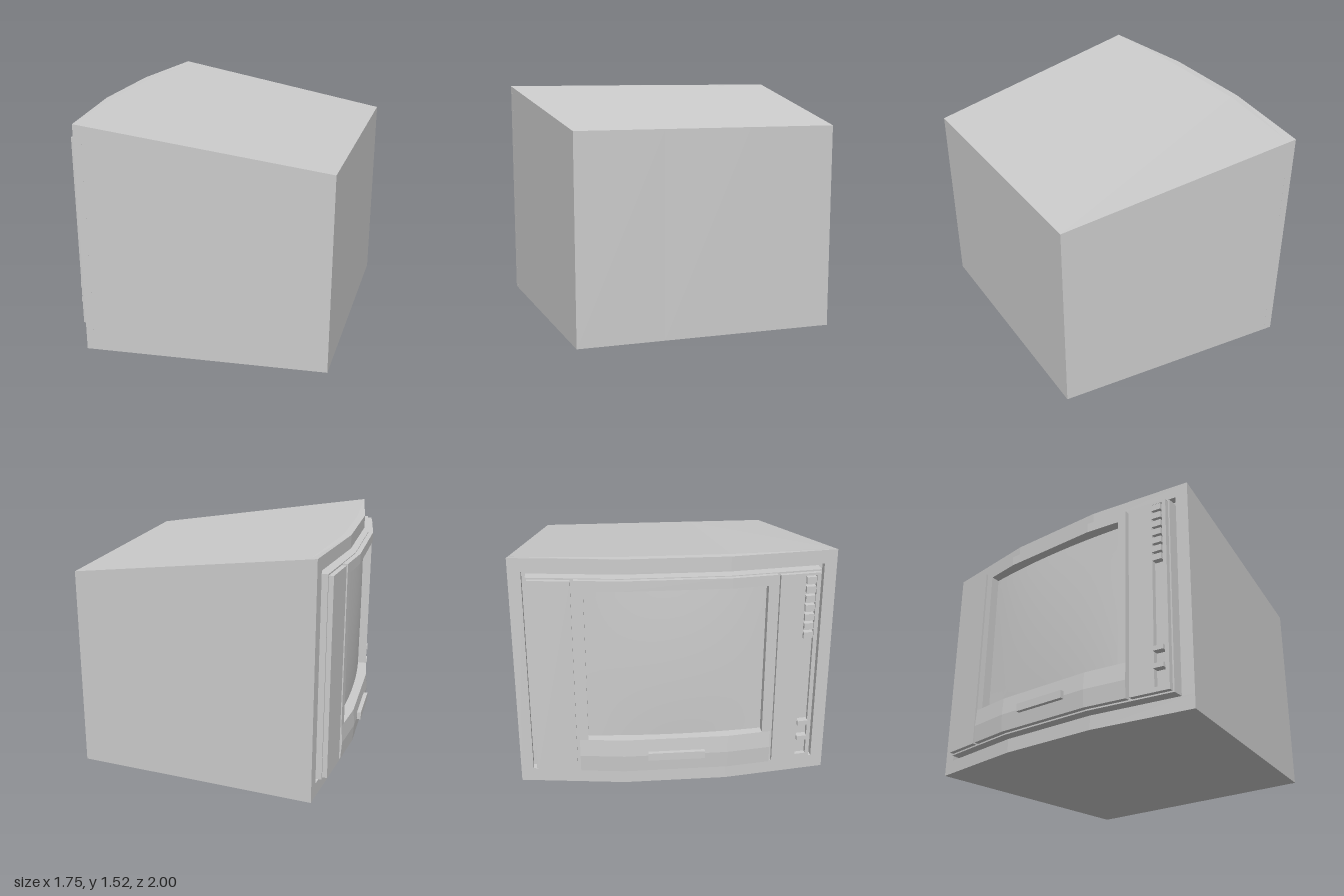
import * as THREE from 'three';
import { mergeGeometries } from 'three/addons/utils/BufferGeometryUtils.js';

const material = new THREE.MeshStandardMaterial({ color: 0xcccccc });
const KINK = 0.33;

// Three-facet plan of the screen side, which faces -x
const curve = (z) => -0.78 + 0.134 * Math.max(0, Math.abs(z) - KINK);
// Cabinet tapers towards the back in height and in width
const roof = (x) => 1.52 - 0.141 * Math.max(0, x + 0.69);
const halfWidth = (x) => 1 - 0.112 * Math.max(0, x + 0.69);

function moveVertices(geo, rule) {
  const p = geo.attributes.position;
  const v = new THREE.Vector3();
  for (let i = 0; i < p.count; i++) {
    rule(v.fromBufferAttribute(p, i));
    p.setXYZ(i, v.x, v.y, v.z);
  }
  return geo;
}

function flat(geo) {
  const g = geo.toNonIndexed();
  g.computeVertexNormals();
  return g;
}

// Box that follows the bent front; d is the distance out from the cabinet face
function bentBox(z0, z1, y0, y1, d0, d1, bulge = 0) {
  const zs = [z0, ...[-KINK, KINK].filter((k) => k > z0 && k < z1), z1];
  const n = zs.length - 1;
  const geo = new THREE.BoxGeometry(1, 1, 1, 1, bulge ? 2 : 1, n);
  return flat(moveVertices(geo, (v) => {
    const z = zs[Math.round((v.z + 0.5) * n)];
    const middle = Math.abs(v.y) < 0.1;
    const d = v.x < 0 ? d1 + (middle ? bulge : 0) : d0;
    v.set(curve(z) - d, y0 + (v.y + 0.5) * (y1 - y0), z);
  }));
}

// Four bent boxes around an opening
function bentFrame([z0, z1, y0, y1], [hz0, hz1, hy0, hy1], d0, d1, bulge = 0) {
  return mergeGeometries([
    bentBox(z0, z1, y0, hy0, d0, d1, bulge),
    bentBox(z0, z1, hy1, y1, d0, d1),
    bentBox(z0, hz0, hy0, hy1, d0, d1),
    bentBox(hz1, z1, hy0, hy1, d0, d1),
  ]);
}

export function createModel() {
  const model = new THREE.Group();
  const add = (name, geo) => {
    const mesh = new THREE.Mesh(geo, material);
    mesh.name = name;
    model.add(mesh);
  };

  // Tapered cabinet, up to the floor of the front recess
  const zFront = [-0.9944, -KINK, KINK, 0.9944];
  const cabinet = new THREE.BoxGeometry(1, 1, 1, 1, 1, 3);
  add('cabinet', flat(moveVertices(cabinet, (v) => {
    const i = Math.round((v.z + 0.5) * 3);
    const front = v.x < 0;
    const x = front ? curve(zFront[i]) + 0.05 : 0.87;
    const z = front ? zFront[i] : (i / 3 - 0.5) * 1.65;
    v.set(x, v.y > 0 ? roof(x) : 0, z);
  })));

  // Cabinet rim around the recess, trimmed to the taper
  const rim = bentFrame([-1, 1, 0, 1.52], [-0.92, 0.92, 0.09, 1.435], -0.05, 0);
  moveVertices(rim, (v) => {
    if (Math.abs(v.z) > 0.99) v.z = Math.sign(v.z) * halfWidth(v.x);
    if (v.y > 1.5) v.y = roof(v.x);
  });
  rim.computeVertexNormals();
  add('cabinetRim', rim);

  // Mounting plate and the screen surround on top of it
  const opening = [-0.555, 0.555, 0.345, 1.34];
  add('mountingPlate', bentFrame([-0.895, 0.895, 0.11, 1.41], opening, -0.05, 0.03));
  add('screenSurround', bentFrame([-0.61, 0.61, 0.12, 1.405], opening, 0.03, 0.062, 0.008));

  // Slightly domed picture tube
  const screen = new THREE.PlaneGeometry(1.11, 0.995, 24, 16);
  screen.rotateY(-Math.PI / 2);
  moveVertices(screen, (v) => {
    const dome = (1 - (v.z / 0.555) ** 2) * (1 - (v.y / 0.4975) ** 2);
    v.x = -0.752 - 0.03 * (1 - (v.z / 0.555) ** 2) - 0.012 * dome;
    v.y += 0.8425;
  });
  screen.computeVertexNormals();
  add('screen', screen);

  // Side panels; the one at +z has a slot for the controls
  add('plainSidePanel', bentBox(-0.885, -0.63, 0.12, 1.4, 0.03, 0.06));
  add('controlSidePanel',
    bentFrame([0.63, 0.885, 0.12, 1.4], [0.79, 0.86, 0.15, 1.385], 0.03, 0.06));

  // Push buttons and two sliders in the slot
  for (let i = 0; i < 7; i++) {
    const y = 1.335 - i * 0.06;
    add('button', bentBox(0.795, 0.855, y, y + 0.042, 0.03, 0.068));
  }
  for (const y of [0.26, 0.37]) {
    add('sliderKnob', bentBox(0.792, 0.858, y, y + 0.03, 0.03, 0.075));
  }

  // Raised bar below the screen
  add('frontBar', bentBox(-0.18, 0.18, 0.21, 0.26, 0.06, 0.095));

  return model;
}
